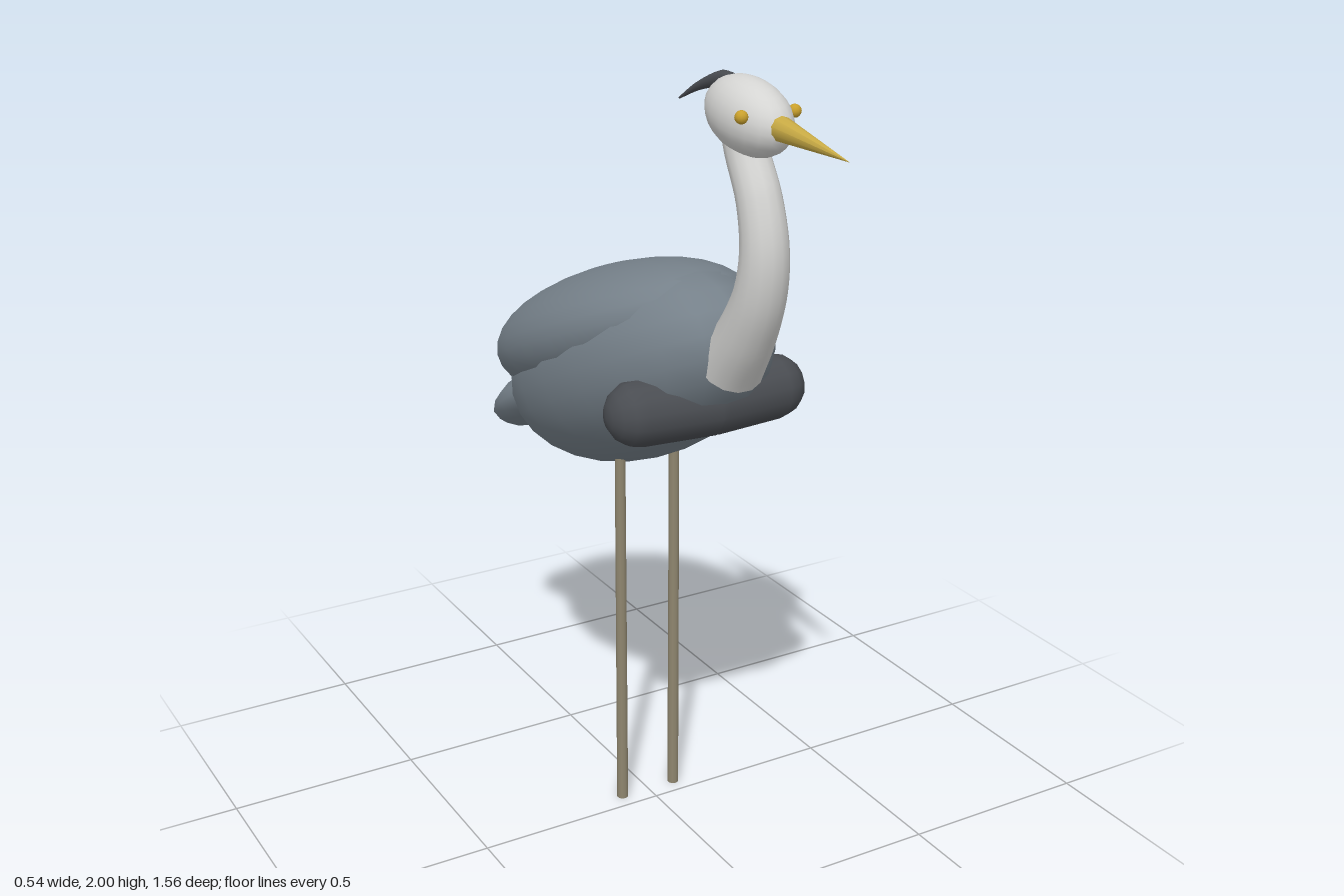
import * as THREE from 'three';

const paint = (name, color) => {
  const m = new THREE.MeshStandardMaterial({ color });
  m.name = name;
  return m;
};

export function createModel() {
  const group = new THREE.Group();
  const slate = paint('slate grey', 0x76818a);
  const dark = paint('dark grey', 0x4a4d52);
  const pale = paint('pale grey', 0xd4d4d2);
  const gold = paint('beak gold', 0xc9ab45);
  const amber = paint('eye amber', 0xc9a02c);
  const legTone = paint('leg tan', 0x8f866f);

  const add = (name, geometry, material, x = 0, y = 0, z = 0) => {
    const mesh = new THREE.Mesh(geometry, material);
    mesh.name = name;
    mesh.position.set(x, y, z);
    group.add(mesh);
    return mesh;
  };

  // Ellipsoid with its long axis along z, pitched about x
  const ellipsoid = (name, material, y, z, size, pitch, sides = 20, rows = 14) => {
    const geometry = new THREE.SphereGeometry(1, sides, rows).scale(...size);
    const mesh = add(name, geometry, material, 0, y, z);
    mesh.rotation.x = pitch;
    return mesh;
  };

  // Tube in the x = 0 plane whose radius follows a rule along its length
  const taperedTube = (name, material, points, radius, steps, sides) => {
    const path = new THREE.CatmullRomCurve3(points.map(([y, z]) => new THREE.Vector3(0, y, z)));
    const geometry = new THREE.TubeGeometry(path, steps, 1, sides);
    const pos = geometry.attributes.position;
    const v = new THREE.Vector3();
    for (let i = 0; i < pos.count; i++) {
      const t = Math.floor(i / (sides + 1)) / steps;
      const centre = path.getPointAt(t);
      v.fromBufferAttribute(pos, i).sub(centre).multiplyScalar(radius(t)).add(centre);
      pos.setXYZ(i, v.x, v.y, v.z);
    }
    return add(name, geometry, material);
  };

  // Trunk, folded wings and tail
  ellipsoid('body', slate, 1.2, -0.1, [0.26, 0.24, 0.53], -0.445);
  ellipsoid('foldedWings', slate, 1.272, -0.18, [0.272, 0.16, 0.5], -0.4, 24, 16);
  ellipsoid('tail', slate, 0.957, -0.615, [0.14, 0.07, 0.2], -0.61, 12, 8);

  // Dark shoulder band across the chest, bent slightly back at the ends
  for (const side of [1, -1]) {
    const shoulder = add(side > 0 ? 'leftShoulder' : 'rightShoulder',
      new THREE.CapsuleGeometry(0.08, 0.185, 4, 14), dark, side * 0.0925, 1.212, 0.243);
    shoulder.rotation.set(0, side * 0.1, Math.PI / 2);
  }

  // S-shaped neck, wider at the chest
  taperedTube('neck', pale,
    [[1.9, 0.37], [1.84, 0.392], [1.74, 0.447], [1.63, 0.472], [1.53, 0.458], [1.43, 0.41], [1.33, 0.34]],
    (t) => 0.049 + 0.031 * t * t, 28, 14);

  // Head, beak and swept-back crest
  ellipsoid('head', pale, 1.915, 0.4, [0.076, 0.083, 0.14], 0.14);
  const beak = add('beak', new THREE.ConeGeometry(0.03, 0.27, 10), gold, 0, 1.9, 0.642);
  beak.rotation.x = Math.PI / 2 + 0.08;
  taperedTube('crest', dark,
    [[1.982, 0.39], [1.978, 0.3], [1.948, 0.2], [1.902, 0.105]],
    (t) => (t < 0.3 ? 0.006 + 0.045 * t : 0.0195 - 0.0245 * (t - 0.3)), 16, 8);

  // Paired eyes and legs
  for (const side of [1, -1]) {
    const label = side > 0 ? 'left' : 'right';
    add(label + 'Eye', new THREE.SphereGeometry(0.015, 12, 8), amber, side * 0.067, 1.932, 0.475);
    add(label + 'Leg', new THREE.CylinderGeometry(0.0135, 0.015, 1.04, 10), legTone, side * 0.078, 0.52, -0.046);
  }

  return group;
}
